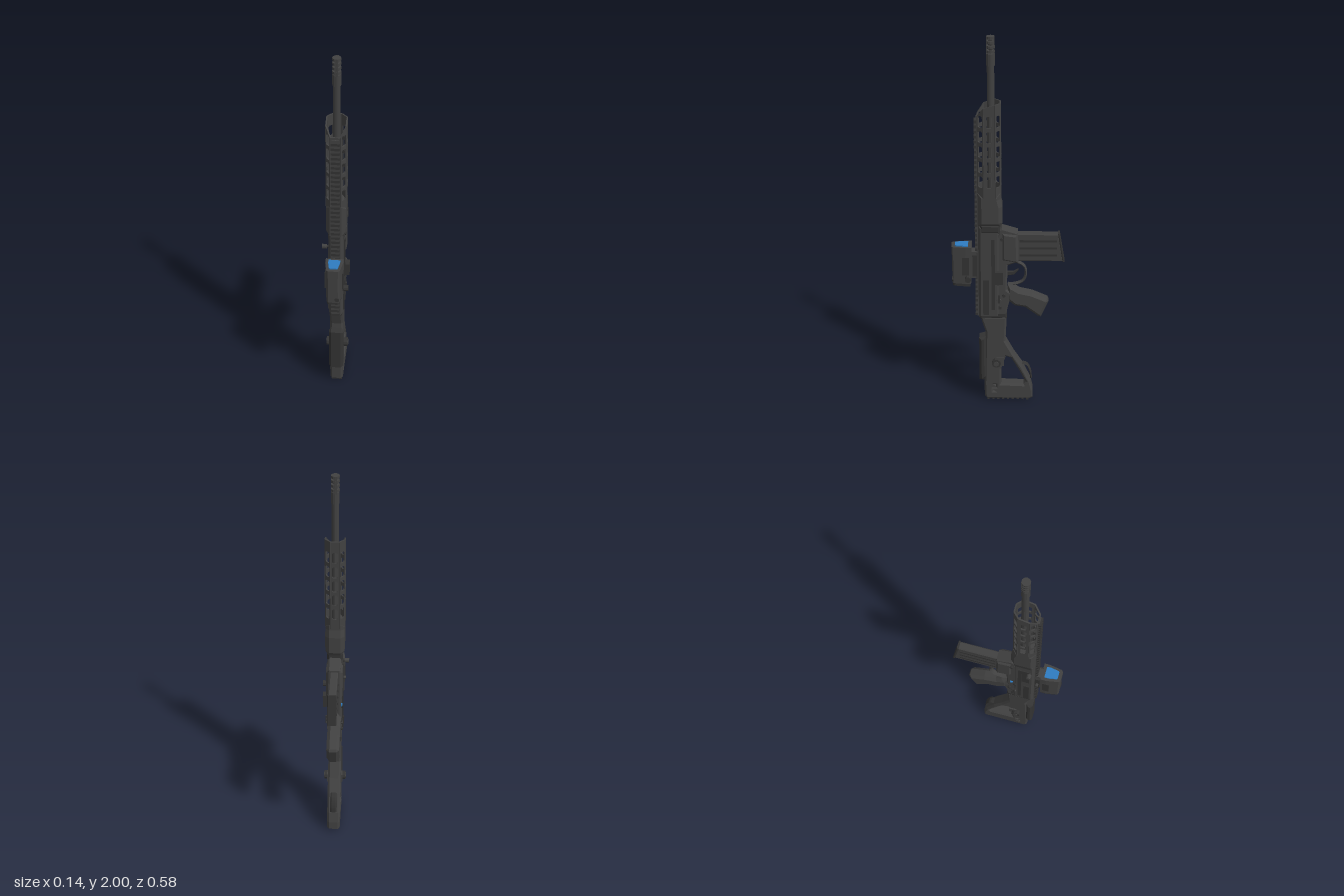
import * as THREE from 'three';

const grey = new THREE.MeshStandardMaterial({ color: 0x414141, name: 'gunmetal', flatShading: true });
const dark = new THREE.MeshStandardMaterial({ color: 0x333333, name: 'darkMetal', flatShading: true });
const blue = new THREE.MeshStandardMaterial({ color: 0x2f7cc0, name: 'blueGlass', flatShading: true });

export function createModel() {
  const root = new THREE.Group();
  root.name = 'rifleProp';

  const add = (name, geo, mat = grey, x = 0, y = 0, z = 0) => {
    const m = new THREE.Mesh(geo, mat);
    m.name = name;
    m.position.set(x, y, z);
    root.add(m);
    return m;
  };
  const box = (name, w, h, d, x, y, z, mat) => add(name, new THREE.BoxGeometry(w, h, d), mat, x, y, z);
  const toPath = (pts, C) => new C(pts.map(p => new THREE.Vector2(p[0], p[1])));
  // side profile in [z, y], extruded across x with chamfered edges
  const profile = (name, pts, width, bevel = 0.008, mat = grey, holes = [], x = 0) => {
    const s = toPath(pts, THREE.Shape);
    s.closePath();
    for (const h of holes) s.holes.push(toPath(h, THREE.Path));
    const geo = new THREE.ExtrudeGeometry(s, {
      depth: width - 2 * bevel, bevelEnabled: bevel > 0, bevelSize: bevel, bevelThickness: bevel,
      bevelOffset: -bevel, bevelSegments: 1, curveSegments: 8,
    });
    geo.translate(0, 0, -(width - 2 * bevel) / 2).rotateY(-Math.PI / 2);
    return add(name, geo, mat, x);
  };
  const rod = (name, r, h, x, y, z, axis = 'y', mat = grey, sides = 12, r2 = r) => {
    const g = new THREE.CylinderGeometry(r2, r, h, sides);
    if (axis === 'x') g.rotateZ(-Math.PI / 2);
    if (axis === 'z') g.rotateX(Math.PI / 2);
    return add(name, g, mat, x, y, z);
  };
  const CZ = 0.083; // barrel axis

  // Barrel and slotted muzzle piece
  rod('barrel', 0.018, 0.87, 0, 1.435, CZ);
  rod('muzzleCollar', 0.021, 0.06, 0, 1.885, CZ);
  rod('muzzleCore', 0.01, 0.07, 0, 1.945, CZ, 'y', dark, 8);
  for (const y of [1.925, 1.948, 1.971, 1.993]) rod('muzzleRing', 0.021, 0.013, 0, y, CZ);
  for (const s of [-1, 1]) box('muzzleRib', 0.016, 0.09, 0.005, 0, 1.955, CZ + s * 0.018);

  // Hollow octagonal handguard made from slotted panels
  const oct = [[0.02, 0.036], [0.048, 0.064], [0.048, 0.118], [0.024, 0.15],
    [-0.024, 0.15], [-0.048, 0.118], [-0.048, 0.064], [-0.02, 0.036]];
  const topY = z => 1.67 - Math.max(0, z - 0.105) * 1.4;
  const H0 = 1.18;
  oct.forEach((a, i) => {
    const b = oct[(i + 1) % 8];
    const dx = b[0] - a[0], dz = b[1] - a[1], L = Math.hypot(dx, dz);
    const s = toPath([[-L / 2, H0], [L / 2, H0], [L / 2, topY(b[1])], [-L / 2, topY(a[1])]], THREE.Shape);
    if (i !== 3) {
      const w = Math.min(L * 0.33, 0.014);
      for (let k = 0; k < 5; k++) {
        const y0 = 1.235 + k * 0.079, y1 = y0 + 0.06;
        s.holes.push(toPath([[-w, y0 + 0.006], [-w, y1 - 0.006], [-w + 0.005, y1], [w - 0.005, y1],
          [w, y1 - 0.006], [w, y0 + 0.006], [w - 0.005, y0], [-w + 0.005, y0]], THREE.Path));
      }
    }
    const geo = new THREE.ExtrudeGeometry(s, { depth: 0.007, bevelEnabled: false });
    geo.translate(0, 0, -0.0035);
    add('handguardPanel', geo, grey, (a[0] + b[0]) / 2, 0, (a[1] + b[1]) / 2).rotation.y = Math.atan2(-dz, dx);
  });
  profile('handguardBase', [[0.152, 1.02], [0.152, 1.2], [0.036, 1.2], [0.036, 1.17], [0.026, 1.13],
    [0.026, 1.04], [0.036, 1.02]], 0.098, 0.02);
  profile('barrelNutCover', [[0.14, 0.98], [0.14, 1.03], [0.04, 1.03], [0.04, 0.98]], 0.08, 0.01, dark);

  // Toothed top rail
  box('railBase', 0.036, 1.09, 0.012, 0, 1.05, 0.152);
  for (let y = 0.515; y < 1.6; y += 0.0265) box('railTooth', 0.044, 0.014, 0.012, 0, y, 0.161, dark);

  // Upper and lower receiver
  profile('upperReceiver', [[0.15, 0.5], [0.15, 1.02], [0.05, 1.02], [0.04, 0.98], [0.04, 0.5]], 0.074, 0.012);
  profile('lowerReceiver', [[0.075, 0.51], [0.075, 0.86], [0.045, 1.0], [0.03, 1.01], [-0.052, 0.985], [-0.056, 0.82],
    [0, 0.8], [0.005, 0.66], [-0.02, 0.64], [0.0, 0.56], [0.01, 0.51]], 0.066, 0.008);
  profile('magazineWell', [[0.03, 0.83], [0.03, 0.985], [-0.05, 0.975], [-0.055, 0.815]], 0.084, 0.012);
  for (const s of [-1, 1]) {
    box('receiverRidge', 0.01, 0.4, 0.018, s * 0.038, 0.75, 0.075, dark);
    box('receiverPlate', 0.008, 0.2, 0.03, s * 0.038, 0.62, 0.112, dark);
    for (const [y, z] of [[0.56, 0.04], [0.95, 0.03], [0.7, 0.05], [0.63, 0.02]])
      rod('receiverPin', 0.009, 0.082, s * 0.001, y, z, 'x', dark, 8);
    rod('safetyHub', 0.013, 0.012, s * 0.038, 0.6, 0.045, 'x', grey, 10);
    box('safetyLever', 0.008, 0.045, 0.012, s * 0.045, 0.615, 0.045, dark);
  }
  box('ejectionPort', 0.006, 0.16, 0.04, -0.037, 0.86, 0.105, dark);
  box('sideCatch', 0.02, 0.07, 0.04, 0.052, 0.74, 0.045, dark);
  box('blueMark', 0.006, 0.014, 0.014, -0.036, 0.72, 0.03, blue);
  rod('chargingArm', 0.007, 0.04, -0.048, 0.935, 0.127, 'x', dark, 8);
  rod('chargingKnob', 0.012, 0.024, -0.058, 0.935, 0.127, 'x', grey, 10);

  // Magazine with pressed ribs and end plate
  profile('magazine', [[-0.04, 0.975], [-0.258, 0.972], [-0.283, 0.82], [-0.04, 0.82]], 0.042, 0.005);
  for (const s of [-1, 1]) for (const y of [0.855, 0.895, 0.935])
    box('magazineRib', 0.006, 0.012, 0.19, s * 0.021, y, -0.155, dark);
  profile('magazineFloor', [[-0.254, 0.977], [-0.264, 0.977], [-0.291, 0.816], [-0.28, 0.816]], 0.046, 0.003, dark);

  // Trigger and guard
  const guard = new THREE.CatmullRomCurve3([[0.81, -0.005], [0.808, -0.05], [0.785, -0.085], [0.735, -0.092],
    [0.7, -0.075], [0.685, -0.04], [0.68, 0.0]].map(p => new THREE.Vector3(0, p[0], p[1])));
  add('triggerGuard', new THREE.TubeGeometry(guard, 24, 0.007, 6).scale(2, 1, 1));
  profile('trigger', [[0.01, 0.755], [-0.03, 0.755], [-0.055, 0.77], [-0.055, 0.762], [-0.032, 0.737], [0.01, 0.73]], 0.014, 0.002, dark);

  // Pistol grip
  profile('grip', [[0.0, 0.685], [-0.03, 0.675], [-0.06, 0.655], [-0.125, 0.64], [-0.205, 0.605], [-0.211, 0.59],
    [-0.172, 0.5], [-0.155, 0.505], [-0.09, 0.555], [-0.035, 0.565], [0.005, 0.6]], 0.066, 0.016);

  // Skeleton stock
  profile('stockHinge', [[0.145, 0.5], [0.14, 0.53], [0.005, 0.53], [0.005, 0.495], [0.14, 0.49]], 0.07, 0.008, dark);
  profile('stock', [[0.143, 0.505], [0.005, 0.505], [0.012, 0.36], [-0.03, 0.28], [-0.075, 0.21], [-0.12, 0.115],
    [-0.133, 0.06], [-0.133, 0.015], [-0.12, 0.006], [0.11, 0.006], [0.122, 0.02], [0.125, 0.1],
    [0.118, 0.37], [0.115, 0.41]], 0.068, 0.01, grey, [
    [[0.035, 0.1], [0.035, 0.19], [0.01, 0.265], [-0.018, 0.255], [-0.06, 0.18], [-0.095, 0.11], [-0.085, 0.095]],
    [[0.07, 0.478], [0.045, 0.478], [0.04, 0.492], [0.072, 0.492]],
    [[0.076, 0.08], [0.064, 0.08], [0.064, 0.092], [0.076, 0.092]],
    [[0.076, 0.055], [0.064, 0.055], [0.064, 0.067], [0.076, 0.067]],
  ]);
  profile('cheekRest', [[0.15, 0.125], [0.15, 0.375], [0.115, 0.385], [0.112, 0.14], [0.13, 0.12]], 0.076, 0.012, dark);
  for (let i = 0; i < 9; i++) box('buttRib', 0.058, 0.012, 0.012, 0, 0.007, -0.105 + i * 0.026, dark);
  rod('stockKnob', 0.024, 0.112, 0, 0.235, 0.06, 'x', dark, 10);
  rod('stockKnobCap', 0.014, 0.118, 0, 0.235, 0.06, 'x', grey, 8);
  box('stockLatch', 0.082, 0.05, 0.04, 0, 0.24, 0.04);
  const sling = new THREE.CatmullRomCurve3([[0.215, -0.075], [0.205, -0.1], [0.16, -0.12], [0.125, -0.123]]
    .map(p => new THREE.Vector3(0, p[0], p[1])));
  add('slingLoop', new THREE.TubeGeometry(sling, 12, 0.006, 6).scale(3, 1, 1), dark);

  // Optic: tapered housing, hood, lenses, mount and knobs
  const housing = [[-0.045, 0.185], [0.045, 0.185], [0.045, 0.215], [0.034, 0.28], [0.026, 0.287],
    [-0.026, 0.287], [-0.034, 0.28], [-0.045, 0.215]];
  const ring = toPath(housing.map(([x, z]) => [x, -z]), THREE.Shape);
  const slab = (name, y0, y1, k, mat) => {
    const g = new THREE.ExtrudeGeometry(ring, { depth: y1 - y0, bevelEnabled: false });
    g.rotateX(-Math.PI / 2).translate(0, 0, -0.236).scale(k, 1, k);
    return add(name, g, mat, 0, y0, 0.236);
  };
  slab('opticBody', 0.7, 0.875, 0.95, grey);
  slab('opticHood', 0.86, 0.905, 1, grey);
  slab('opticRear', 0.685, 0.73, 0.88, dark);
  slab('frontLens', 0.905, 0.911, 0.66, blue);
  slab('rearLens', 0.68, 0.686, 0.66, dark);
  for (const s of [-1, 1]) {
    box('opticSidePanel', 0.007, 0.1, 0.035, s * 0.043, 0.8, 0.215, dark);
    box('mountClamp', 0.014, 0.12, 0.025, s * 0.03, 0.8, 0.168, dark);
  }
  box('opticMount', 0.05, 0.15, 0.03, 0, 0.8, 0.175);
  rod('opticKnob', 0.016, 0.03, 0.055, 0.735, 0.203, 'x', dark, 10);
  rod('opticBolt', 0.008, 0.016, -0.044, 0.8, 0.168, 'x', grey, 8);
  rod('opticTopDial', 0.012, 0.012, 0.02, 0.72, 0.281, 'z', dark, 10);

  return root;
}
